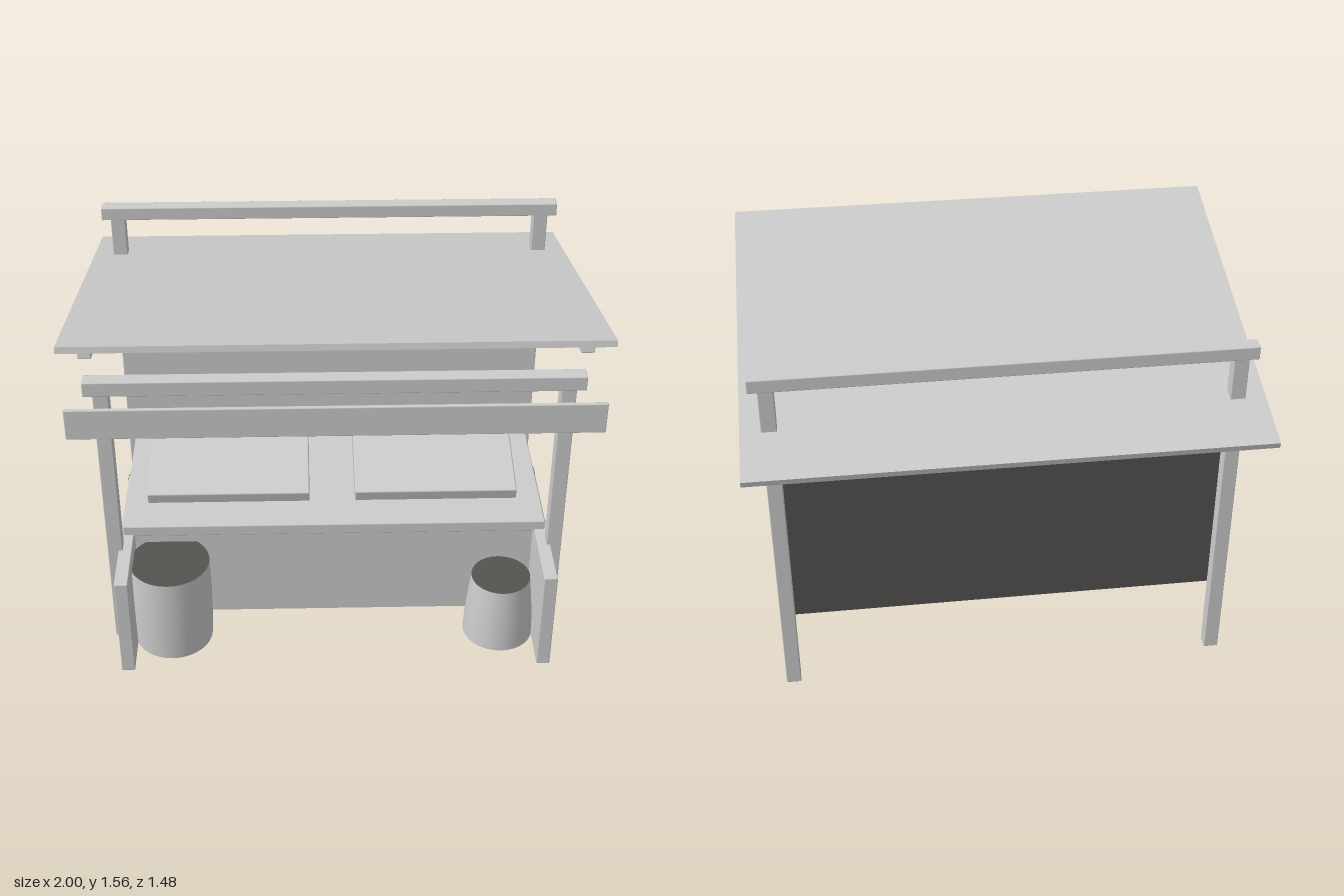
import * as THREE from 'three';
import { RoundedBoxGeometry } from 'three/addons/geometries/RoundedBoxGeometry.js';

export function createModel() {
  const model = new THREE.Group();
  model.name = 'marketStall';
  const grey = new THREE.MeshStandardMaterial({ color: 0xcccccc });
  grey.name = 'pale grey';
  const dark = new THREE.MeshStandardMaterial({ color: 0x555350, side: THREE.DoubleSide });
  dark.name = 'dark grey';

  const add = (name, geometry, material = grey, parent = model) => {
    const mesh = new THREE.Mesh(geometry, material);
    mesh.name = name;
    parent.add(mesh);
    return mesh;
  };

  // Box given by its min and max on each axis, with slightly eased edges
  const box = (name, [x0, x1], [y0, y1], [z0, z1], material = grey, parent = model, ease = 0.004) => {
    const size = [x1 - x0, y1 - y0, z1 - z0];
    const geometry = ease ? new RoundedBoxGeometry(...size, 1, ease) : new THREE.BoxGeometry(...size);
    const mesh = add(name, geometry, material, parent);
    mesh.position.set((x0 + x1) / 2, (y0 + y1) / 2, (z0 + z1) / 2);
    return mesh;
  };

  // A pair mirrored across x = 0
  const pair = (name, [x0, x1], y, z, parent = model) => {
    box(name + 'Left', [x0, x1], y, z, grey, parent);
    box(name + 'Right', [-x1, -x0], y, z, grey, parent);
  };

  // Posts and cross beams
  pair('backPost', [0.86, 0.92], [0, 1.46], [-0.508, -0.45]);
  pair('frontPost', [0.86, 0.92], [0, 1.205], [0.452, 0.51]);
  box('backBeam', [-0.957, 0.957], [1.455, 1.51], [-0.51, -0.45]);
  box('frontBeam', [-0.957, 0.957], [1.2, 1.262], [0.45, 0.512]);

  // Sloping roof with a runner under each side
  const roof = new THREE.Group();
  roof.name = 'roof';
  roof.position.set(0, 1.382, 0);
  roof.rotation.x = -0.221;
  model.add(roof);
  box('roofPanel', [-1, 1], [-0.0125, 0.0125], [-0.756, 0.756], grey, roof, 0);
  pair('roofRunner', [0.875, 0.925], [-0.042, -0.0125], [-0.733, 0.733], roof);

  // Hanging front board
  box('frontFascia', [-1, 1], [1.146, 1.273], [0.696, 0.714]);

  // Back wall with a dark rear face
  box('backWall', [-0.88, 0.88], [0.32, 1.235], [-0.442, -0.436], grey, model, 0);
  box('backWallRear', [-0.88, 0.88], [0.32, 1.235], [-0.447, -0.442], dark, model, 0);

  // Counter, its legs, front board and side panels
  box('counterTop', [-0.865, 0.865], [0.448, 0.495], [-0.405, 0.41]);
  box('counterFront', [-0.83, 0.83], [0.015, 0.45], [0.36, 0.375], grey, model, 0);
  box('counterFrontInnerStrip', [-0.83, 0.83], [0.37, 0.448], [0.354, 0.36], dark, model, 0);
  pair('counterLeg', [0.825, 0.882], [0.015, 0.45], [0.34, 0.397]);
  pair('sidePanel', [0.823, 0.877], [0.003, 0.455], [-0.04, 0.727]);

  // Small dark corner plates on the side panels
  const corner = new THREE.Shape([
    new THREE.Vector2(0.04, 0.448), new THREE.Vector2(-0.025, 0.448), new THREE.Vector2(0.04, 0.37),
  ]);
  for (const side of [1, -1]) {
    const plate = add('cornerPlate', new THREE.ShapeGeometry(corner), dark);
    plate.rotation.y = Math.PI / 2;
    plate.position.x = side * 0.879;
  }

  // Tilted display trays on the counter
  for (const x of [-0.4375, 0.4275]) {
    const tray = add('displayTray', new RoundedBoxGeometry(0.675, 0.099, 0.42, 1, 0.006));
    tray.position.set(x, 0.5415, 0.0415);
    tray.rotation.x = 0.224;
  }

  // Round containers standing in front
  const container = (name, x, z, profile) => {
    const points = profile.map(([r, y]) => new THREE.Vector2(r, y));
    const body = add(name, new THREE.LatheGeometry(points, 32));
    body.position.set(x, 0, z);
    const [r, y] = profile[profile.length - 1];
    const top = add(name + 'Top', new THREE.CircleGeometry(r, 32), dark);
    top.rotation.x = -Math.PI / 2;
    top.position.set(x, y, z);
    const base = add(name + 'Base', new THREE.CircleGeometry(profile[0][0], 32));
    base.rotation.x = Math.PI / 2;
    base.position.set(x, profile[0][1], z);
  };
  container('largeBarrel', -0.675, 0.5, [[0.16, 0.003], [0.165, 0.12], [0.167, 0.26], [0.163, 0.39]]);
  container('smallBarrel', 0.685, 0.5, [[0.145, 0.003], [0.14, 0.1], [0.131, 0.2], [0.121, 0.29]]);

  return model;
}
